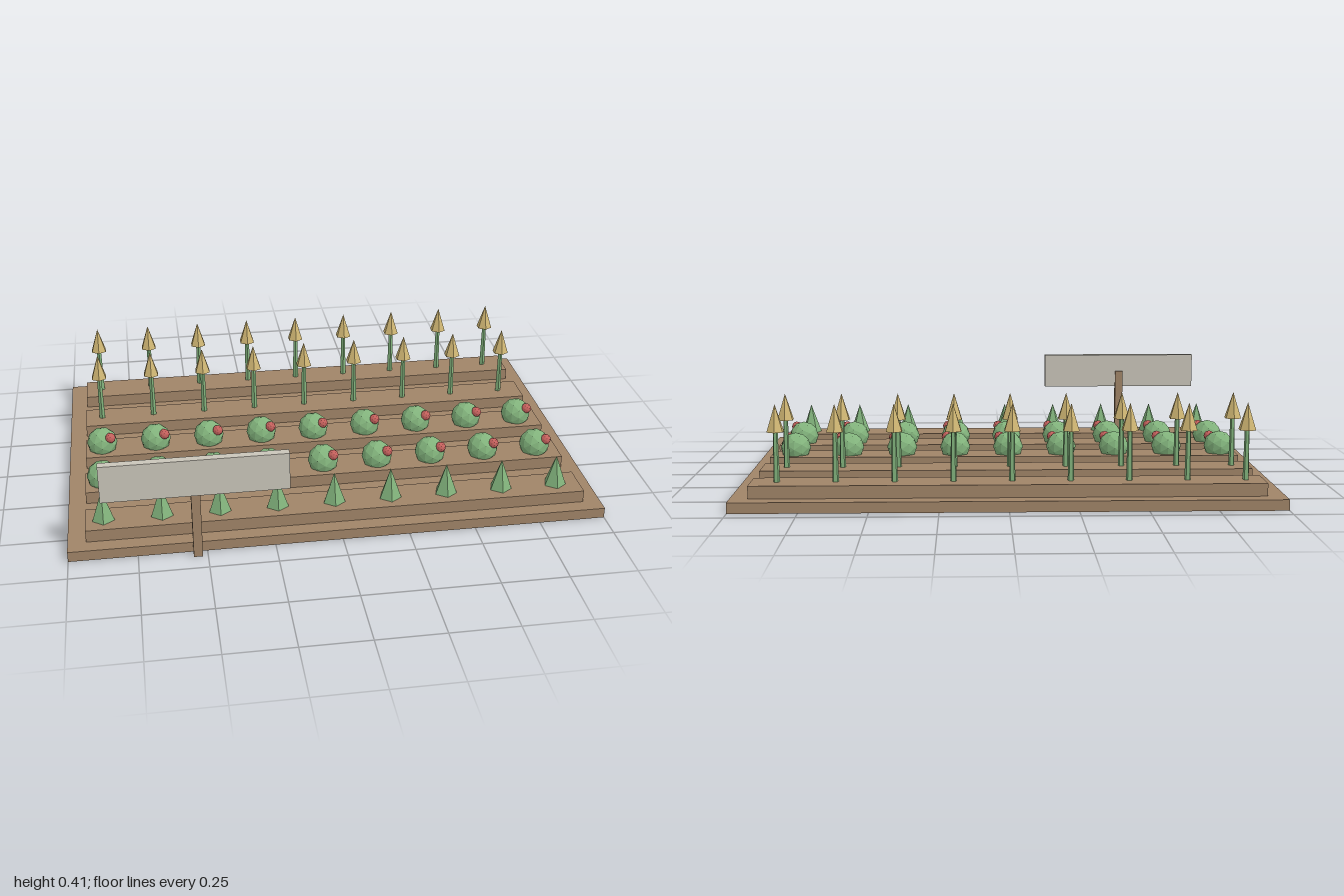
import * as THREE from 'three';

const material = (name, color) => {
  const m = new THREE.MeshStandardMaterial({ color, flatShading: true });
  m.name = name;
  return m;
};

export function createModel() {
  const model = new THREE.Group();
  model.name = 'vegetableGarden';

  const soil = material('soil brown', 0xa08468);
  const leaf = material('leaf green', 0x82b37c);
  const grain = material('grain yellow', 0xcfb673);
  const berry = material('berry red', 0xc4605c);
  const board = material('board grey', 0xc9c5b9);

  const add = (parent, name, geometry, mat, x, y, z) => {
    const mesh = new THREE.Mesh(geometry, mat);
    mesh.name = name;
    mesh.position.set(x, y, z);
    parent.add(mesh);
    return mesh;
  };
  const box = (name, mat, w, h, d, x, y, z) =>
    add(model, name, new THREE.BoxGeometry(w, h, d), mat, x, y, z);

  // Ground slab
  const midZ = -0.0235;
  box('ground', soil, 2, 0.04, 1.333, 0, 0.02, midZ);

  // Shared plant shapes
  const sproutShape = new THREE.ConeGeometry(0.043, 0.12, 5);
  const bushShape = new THREE.IcosahedronGeometry(0.06, 1);
  const berryShape = new THREE.IcosahedronGeometry(0.021, 1);
  const stemShape = new THREE.CylinderGeometry(0.009, 0.012, 0.187, 5);
  const earShape = new THREE.ConeGeometry(0.0335, 0.1, 6);

  // Each plant stands on its bed at bedTop
  const bedTop = 0.087;
  const plants = {
    sprout(g) {
      add(g, 'sproutCone', sproutShape, leaf, 0, 0.06, 0);
    },
    berryBush(g) {
      add(g, 'bush', bushShape, leaf, 0, 0.028, 0);
      add(g, 'berry', berryShape, berry, 0.034, 0.062, 0.034);
    },
    grainStalk(g) {
      add(g, 'stem', stemShape, leaf, 0, 0.0935, 0);
      add(g, 'ear', earShape, grain, 0, 0.234, 0);
    },
  };

  // Raised beds, front to back, with nine plants in each
  const rows = ['sprout', 'berryBush', 'berryBush', 'grainStalk', 'grainStalk'];
  rows.forEach((kind, row) => {
    const z = midZ + (2 - row) * 0.2673;
    box('raisedBed', soil, 1.867, bedTop - 0.04, 0.147, 0, (bedTop + 0.04) / 2, z);
    for (let i = 0; i < 9; i++) {
      const plant = new THREE.Group();
      plant.name = kind;
      plant.position.set(-0.867 + i * 0.2133, bedTop, z);
      plants[kind](plant);
      model.add(plant);
    }
  });

  // Sign on a post at the front edge
  box('signPost', soil, 0.033, 0.333, 0.033, -0.535, 0.1665, 0.662);
  box('signBoard', board, 0.667, 0.143, 0.03, -0.534, 0.335, 0.676);

  return model;
}
